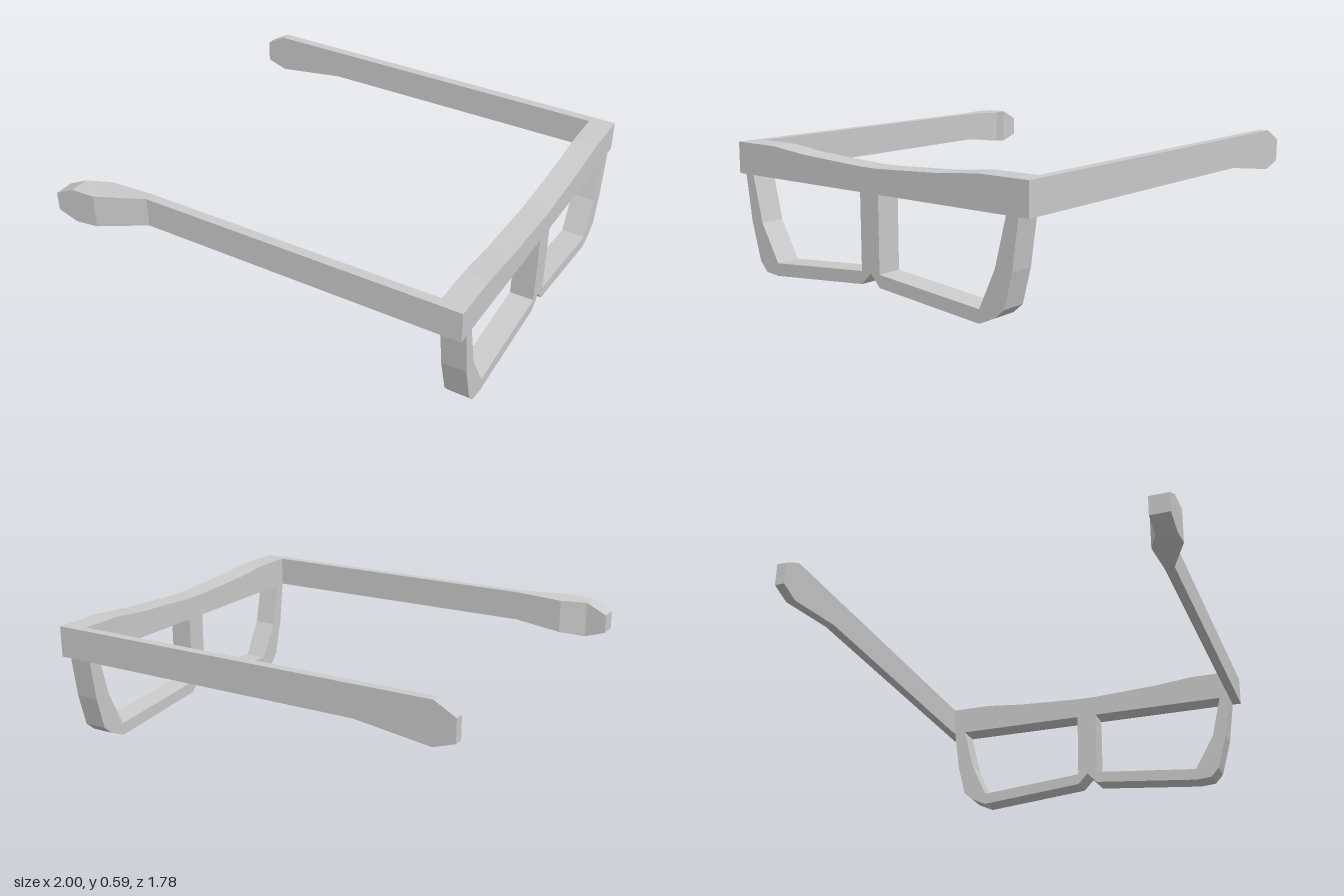
import * as THREE from 'three';

const material = new THREE.MeshStandardMaterial({ color: 0xcccccc, flatShading: true });
const toPoints = (list) => list.map(([u, v]) => new THREE.Vector2(u, v));

function addMesh(group, name, geometry) {
  const mesh = new THREE.Mesh(geometry, material);
  mesh.name = name;
  group.add(mesh);
  return mesh;
}

function extrude(outline, holes, depth) {
  const shape = new THREE.Shape(toPoints(outline));
  holes.forEach((hole) => shape.holes.push(new THREE.Path(toPoints(hole))));
  return new THREE.ExtrudeGeometry(shape, { depth, bevelEnabled: false });
}

// Joins rectangular cross-sections [x, zInner, zOuter, yBottom, yTop], running towards -x
function loft(sections) {
  const rings = sections.map(([x, zi, zo, yb, yt]) => [[x, yb, zo], [x, yt, zo], [x, yt, zi], [x, yb, zi]]);
  const positions = [];
  const quad = (a, b, c, d) => positions.push(...a, ...b, ...c, ...a, ...c, ...d);
  for (let i = 0; i < rings.length - 1; i++) {
    for (let k = 0; k < 4; k++) {
      const n = (k + 1) % 4;
      quad(rings[i][k], rings[i][n], rings[i + 1][n], rings[i + 1][k]);
    }
  }
  const first = rings[0], last = rings[rings.length - 1];
  quad(first[3], first[2], first[1], first[0]);
  quad(...last);
  const geometry = new THREE.BufferGeometry();
  geometry.setAttribute('position', new THREE.Float32BufferAttribute(positions, 3));
  geometry.computeVertexNormals();
  return geometry;
}

export function createModel() {
  const model = new THREE.Group();
  model.name = 'eyeglasses';

  // Front frame: brow bar, two rims and nose post, drawn as (z, y)
  const frameOutline = [
    [0.795, 0.45], [0.795, 0.595], [0.55, 0.595], [0.35, 0.575], [0.0, 0.558],
    [-0.1, 0.558], [-0.44, 0.575], [-0.64, 0.595], [-0.89, 0.595], [-0.89, 0.45],
    [-0.84, 0.45], [-0.81, 0.235], [-0.77, 0.08], [-0.725, 0.04], [-0.645, 0.003],
    [-0.1, 0.055], [-0.048, 0.11], [0.005, 0.055],
    [0.55, 0.003], [0.63, 0.01], [0.67, 0.055], [0.72, 0.235], [0.75, 0.45],
  ];
  const lensHoles = [
    [[0.7, 0.45], [0.65, 0.235], [0.55, 0.062], [0.005, 0.112], [0.005, 0.45]],
    [[-0.78, 0.45], [-0.725, 0.235], [-0.645, 0.062], [-0.1, 0.112], [-0.1, 0.45]],
  ];
  const frame = addMesh(model, 'frontFrame', extrude(frameOutline, lensHoles, 0.115));
  frame.rotation.y = -Math.PI / 2;
  frame.position.x = 1;

  // Straight temple arm with a flat, drooping tip
  const armOutline = [
    [0.885, 0.45], [0.885, 0.595], [-0.9, 0.595], [-1, 0.54],
    [-1, 0.435], [-0.9, 0.402], [-0.55, 0.45],
  ];
  const arm = addMesh(model, 'straightTempleArm', extrude(armOutline, [], 0.045));
  arm.position.z = -0.89;

  // Temple arm whose tip thickens and bends outwards
  addMesh(model, 'bentTempleArm', loft([
    [0.885, 0.75, 0.795, 0.45, 0.595],
    [-0.55, 0.75, 0.795, 0.45, 0.592],
    [-0.78, 0.75, 0.887, 0.418, 0.58],
    [-0.9, 0.797, 0.887, 0.402, 0.575],
    [-1, 0.797, 0.887, 0.435, 0.525],
  ]));

  return model;
}
